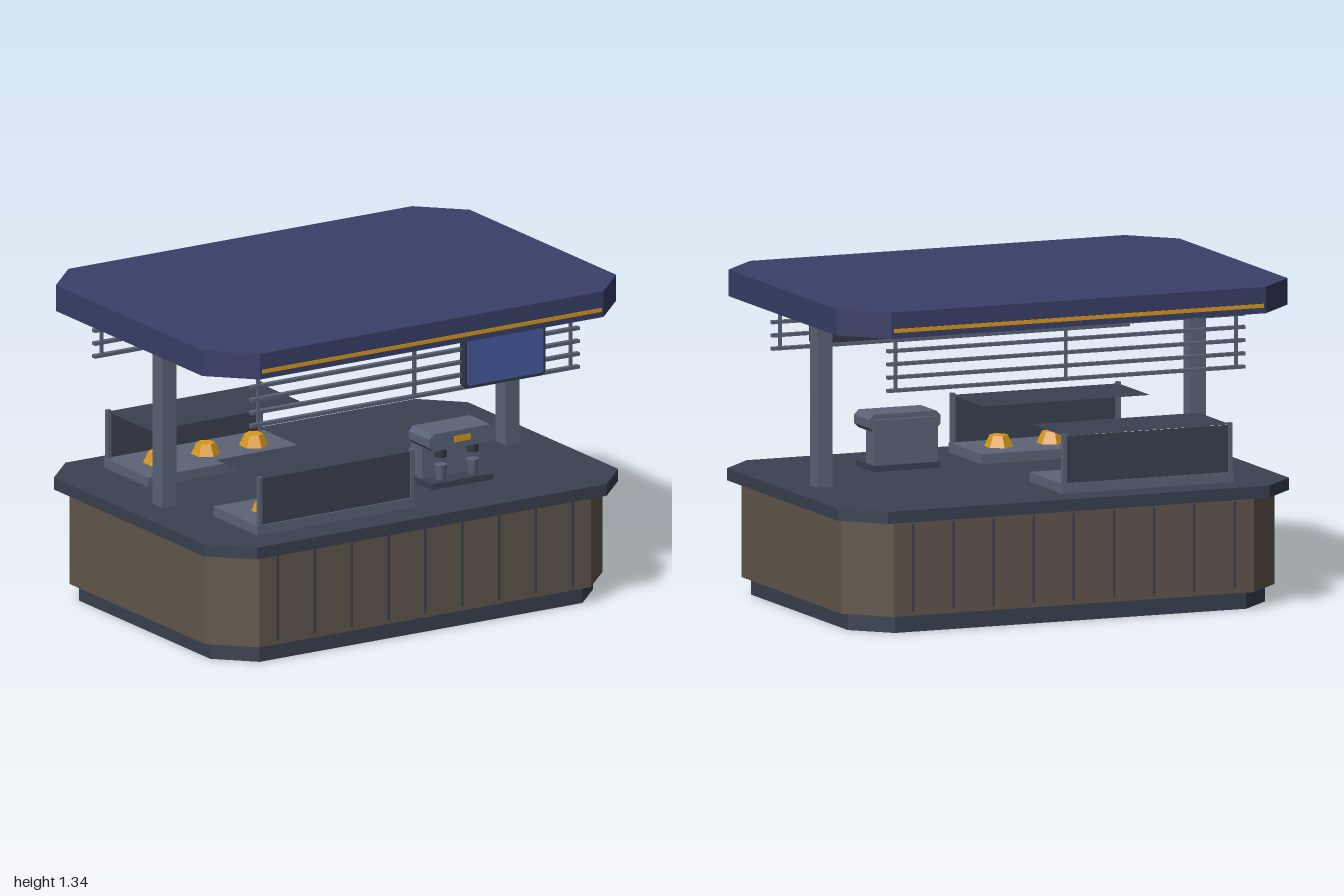
import * as THREE from 'three';

const mat = (name, color, extra = {}) => {
  const m = new THREE.MeshStandardMaterial({ color, ...extra });
  m.name = name;
  return m;
};

export function createModel() {
  const navy = mat('navy roof', 0x383f68);
  const slate = mat('dark slate', 0x3a4150);
  const wood = mat('brown wood', 0x62574c);
  const steel = mat('grey steel', 0x5b6477);
  const amber = mat('amber', 0xd9981f);
  const blue = mat('screen blue', 0x465ca2);
  const charcoal = mat('charcoal', 0x313743);
  const pane = mat('case pane', 0x3a414f, { side: THREE.DoubleSide });

  const model = new THREE.Group();
  model.name = 'kiosk';

  const add = (parent, name, geometry, material, x = 0, y = 0, z = 0) => {
    const mesh = new THREE.Mesh(geometry, material);
    mesh.name = name;
    mesh.position.set(x, y, z);
    parent.add(mesh);
    return mesh;
  };
  // Box given by its limits on each axis
  const box = (parent, name, material, [x0, x1], [y0, y1], [z0, z1]) =>
    add(parent, name, new THREE.BoxGeometry(x1 - x0, y1 - y0, z1 - z0), material,
      (x0 + x1) / 2, (y0 + y1) / 2, (z0 + z1) / 2);
  // Rectangle with cut corners
  const cutRect = (hx, hy, c) => new THREE.Shape([
    [hx - c, -hy], [hx, c - hy], [hx, hy - c], [hx - c, hy],
    [c - hx, hy], [-hx, hy - c], [-hx, c - hy], [c - hx, -hy],
  ].map(([x, y]) => new THREE.Vector2(x, y)));
  const extrude = (shape, depth) =>
    new THREE.ExtrudeGeometry(shape, { depth, bevelEnabled: false });
  const slab = (name, material, hx, hz, cut, y0, y1) =>
    add(model, name, extrude(cutRect(hx, hz, cut), y1 - y0).rotateX(-Math.PI / 2), material, 0, y0, 0);

  // Plinth, counter body, worktop and roof
  slab('plinth', slate, 0.925, 0.64, 0.145, 0, 0.072);
  slab('counterBody', wood, 0.96, 0.672, 0.16, 0.072, 0.465);
  slab('worktop', slate, 1, 0.722, 0.155, 0.465, 0.515);
  slab('roof', navy, 1, 0.722, 0.17, 1.226, 1.335);

  // Roof posts
  for (const s of [-1, 1]) {
    add(model, 'post', new THREE.BoxGeometry(0.068, 0.711, 0.074), steel, s * 0.828, 0.8705, 0);
  }

  // Pastry display case, open towards the middle of the kiosk
  const displayCase = (s) => {
    const g = new THREE.Group();
    g.name = 'displayCase';
    const span = (a, b) => [Math.min(s * a, s * b), Math.max(s * a, s * b)];
    box(g, 'caseTray', steel, [-0.75, 0.012], [0.515, 0.556], span(0.245, 0.58));
    for (const x of [-0.735, -0.001]) {
      box(g, 'casePost', steel, [x - 0.009, x + 0.009], [0.556, 0.76], span(0.561, 0.58));
    }
    add(g, 'frontPane', new THREE.PlaneGeometry(0.73, 0.195), pane, -0.368, 0.6535, s * 0.572);
    add(g, 'topPane', new THREE.PlaneGeometry(0.74, 0.325).rotateX(-Math.PI / 2), pane,
      -0.368, 0.752, s * 0.41);
    for (const x of [-0.6, -0.368, -0.136]) {
      const bun = new THREE.CylinderGeometry(0.038, 0.06, 0.048, 6).toNonIndexed();
      bun.computeVertexNormals();
      add(g, 'bun', bun, amber, x, 0.58, s * 0.408);
    }
    model.add(g);
  };

  // Details repeated on the front and back
  for (const s of [1, -1]) {
    displayCase(s);
    add(model, 'roofStripe', new THREE.BoxGeometry(1.64, 0.016, 0.006), amber, 0, 1.258, s * 0.723);
    for (let i = -4; i <= 4; i++) {
      add(model, 'plankGroove', new THREE.BoxGeometry(0.01, 0.36, 0.006), slate,
        i * 0.178, 0.27, s * 0.672);
    }
    const rack = new THREE.Group();
    rack.name = 'slatScreen';
    for (let i = 0; i < 5; i++) {
      add(rack, 'slat', new THREE.BoxGeometry(1.585, 0.014, 0.022), steel,
        0, 0.99 + i * 0.0545, s * 0.59);
    }
    for (const x of [-0.755, 0, 0.755]) {
      add(rack, 'slatHanger', new THREE.BoxGeometry(0.012, 0.242, 0.012), steel, x, 1.105, s * 0.59);
    }
    model.add(rack);
  }

  // Menu screen hung on the front slats
  const screen = new THREE.Group();
  screen.name = 'menuScreen';
  add(screen, 'screenFrame', extrude(cutRect(0.195, 0.108, 0.014), 0.034), charcoal, 0, 0, 0);
  add(screen, 'screenFace', extrude(cutRect(0.183, 0.096, 0.008), 0.003), blue, 0, 0, 0.034);
  screen.position.set(0.417, 1.1, 0.59);
  model.add(screen);

  // Coffee machine
  const machine = new THREE.Group();
  machine.name = 'coffeeMachine';
  box(machine, 'machineBase', slate, [0.198, 0.495], [0.515, 0.54], [0.235, 0.415]);
  box(machine, 'machineBody', steel, [0.207, 0.488], [0.54, 0.727], [0.237, 0.325]);
  add(machine, 'machineHead', extrude(cutRect(0.158, 0.037, 0.02), 0.156), steel, 0.347, 0.711, 0.253);
  box(machine, 'machineBadge', amber, [0.307, 0.387], [0.7, 0.725], [0.408, 0.413]);
  for (const x of [0.27, 0.425]) {
    add(machine, 'brewHead', new THREE.CylinderGeometry(0.025, 0.025, 0.04, 12), charcoal, x, 0.655, 0.366);
    add(machine, 'cup', new THREE.CylinderGeometry(0.027, 0.019, 0.063, 12), steel, x, 0.5715, 0.366);
  }
  model.add(machine);

  return model;
}
